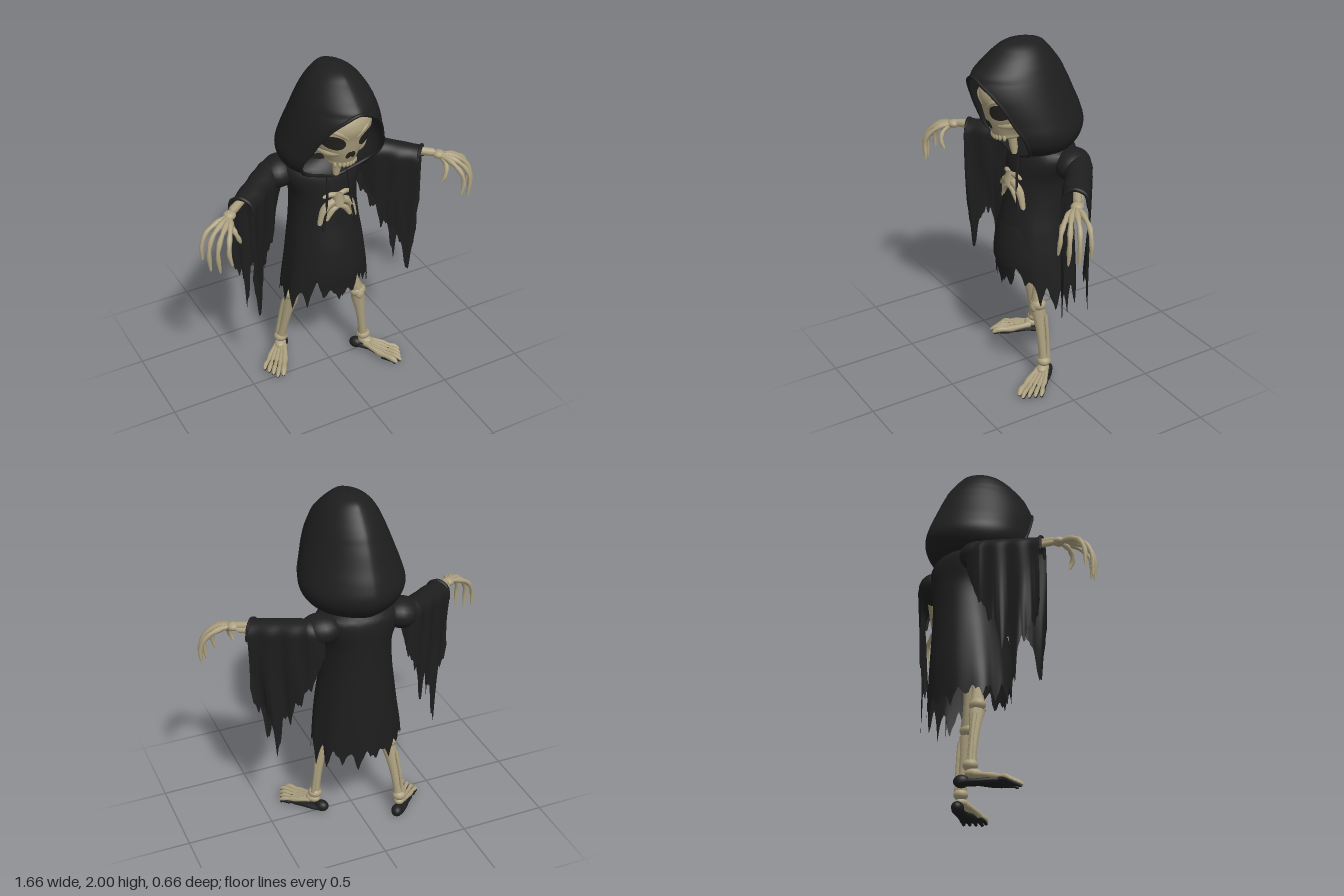
import * as THREE from 'three';
import { mergeVertices } from 'three/addons/utils/BufferGeometryUtils.js';

const { PI, sin, cos, abs, min, max, sqrt, floor, asin } = Math;
const D = THREE.DoubleSide;
const cloth = new THREE.MeshStandardMaterial({ name: 'charcoal cloth', color: 0x1e1e1e, side: D });
const bone = new THREE.MeshStandardMaterial({ name: 'old bone', color: 0xaca07f });
const socket = new THREE.MeshStandardMaterial({ name: 'socket shadow', color: 0x272420, side: D });

const V = (x, y, z) => new THREE.Vector3(x, y, z);
const lerp = THREE.MathUtils.lerp;
const hash = n => { const h = sin(n * 127.1 + 3.7) * 43758.5453; return h - floor(h); };
// torn edge: pointed strips of uneven length, 0..1
const tooth = t => {
  const k = floor(t), f = t - k;
  return (1 - abs(2 * f - 1)) ** 1.4 * (0.3 + 0.7 * hash(k));
};

// smooth lookup in rows of [y, ...values], ascending in y
function at(rows, y) {
  let i = 0;
  while (i < rows.length - 2 && y > rows[i + 1][0]) i++;
  const a = rows[i], b = rows[i + 1], h = b[0] - a[0], t = min(1, max(0, (y - a[0]) / h));
  const p = rows[max(0, i - 1)], n = rows[min(rows.length - 1, i + 2)];
  return a.map((v, k) => {
    const m0 = (b[k] - p[k]) / (b[0] - p[0]) * h, m1 = (n[k] - a[k]) / (n[0] - a[0]) * h;
    return v * (2 * t ** 3 - 3 * t * t + 1) + m0 * (t ** 3 - 2 * t * t + t)
      + b[k] * (3 * t * t - 2 * t ** 3) + m1 * (t ** 3 - t * t);
  });
}

// surface from a rule fn(u, v) -> Vector3
function grid(fn, nu, nv) {
  const pos = [], idx = [];
  for (let j = 0; j <= nv; j++) for (let i = 0; i <= nu; i++) pos.push(...fn(i / nu, j / nv).toArray());
  for (let j = 0; j < nv; j++) for (let i = 0; i < nu; i++) {
    const a = j * (nu + 1) + i, c = a + nu + 1;
    idx.push(a, c, a + 1, a + 1, c, c + 1);
  }
  let g = new THREE.BufferGeometry();
  g.setAttribute('position', new THREE.Float32BufferAttribute(pos, 3));
  g.setIndex(idx);
  g = mergeVertices(g, 1e-5);
  g.computeVertexNormals();
  return g;
}

// tube through points with changing radius and rounded ends
function sweep(points, radii, sides = 8, n = points.length * 7, closed = false) {
  const curve = new THREE.CatmullRomCurve3(points, closed);
  const g = new THREE.TubeGeometry(curve, n, 1, sides, closed), p = g.attributes.position, v = V();
  for (let i = 0; i <= n; i++) {
    const t = i / n, c = curve.getPointAt(t), f = t * (radii.length - 1), k = min(radii.length - 2, floor(f));
    let r = radii.length > 1 ? lerp(radii[k], radii[k + 1], f - k) : radii[0];
    if (!closed) r *= sqrt(max(0, 1 - abs(2 * t - 1) ** 18));
    for (let j = 0; j <= sides; j++) {
      const q = i * (sides + 1) + j;
      v.fromBufferAttribute(p, q).sub(c).multiplyScalar(r).add(c);
      p.setXYZ(q, v.x, v.y, v.z);
    }
  }
  return g;
}

// slices: [y, half width, back z, front z]
const robe = [[0.4, 0.268, -0.28, 0.15], [0.6, 0.255, -0.28, 0.155], [0.75, 0.235, -0.28, 0.165], [0.9, 0.215, -0.275, 0.15],
  [1.05, 0.195, -0.27, 0.12], [1.2, 0.192, -0.27, 0.1], [1.33, 0.235, -0.27, 0.08], [1.39, 0.21, -0.25, 0.05], [1.42, 0.12, -0.2, 0.02]];
const skull = [[1.462, 0.01, 0.1, 0.13], [1.468, 0.07, 0.05, 0.188], [1.5, 0.088, 0.02, 0.21], [1.54, 0.115, -0.05, 0.227], [1.58, 0.15, -0.08, 0.238],
  [1.64, 0.173, -0.09, 0.252], [1.7, 0.18, -0.09, 0.268], [1.76, 0.16, -0.07, 0.25], [1.82, 0.08, -0.02, 0.18], [1.838, 0.004, 0.07, 0.09]];
// hood slices: [y, half width, opening half width, back z, rim z]
const hood = [[1.335, 0.1, 0, -0.18, 0.07], [1.37, 0.165, 0.1, -0.22, 0.085], [1.41, 0.235, 0.19, -0.27, 0.1], [1.46, 0.275, 0.232, -0.312, 0.13],
  [1.52, 0.288, 0.24, -0.33, 0.155], [1.6, 0.27, 0.21, -0.31, 0.2], [1.68, 0.246, 0.178, -0.275, 0.24], [1.75, 0.222, 0.133, -0.245, 0.28],
  [1.8, 0.203, 0.07, -0.22, 0.312], [1.83, 0.19, 0, -0.205, 0.325], [1.88, 0.165, 0, -0.17, 0.275], [1.94, 0.122, 0, -0.12, 0.2],
  [1.98, 0.07, 0, -0.07, 0.135], [2, 0.003, 0, 0.025, 0.035]];
// sleeve hem: [distance from the middle, y]
const hemLine = [[0.16, 1.33], [0.235, 1.25], [0.275, 1.12], [0.32, 1.02], [0.38, 0.91], [0.44, 0.8], [0.5, 0.82], [0.56, 0.88], [0.62, 1.03]];

// angle 0 is the back, +-PI the front
function ring(rows, a, y, ripple = 1) {
  const [, w, zb, zf] = at(rows, y);
  return V(w * sin(a) * ripple, y, zb + (zf - zb) * (1 - cos(a)) / 2);
}
// point lying on the front of a sliced form
function onFront(rows, x, y, off) {
  const [, w, zb, zf] = at(rows, y), q = min(1, abs(x / w));
  return V(x, y, zb + (zf - zb) * (1 + sqrt(1 - q * q)) / 2 + off);
}
// hood slices are slightly diamond-shaped
function hoodPoint(u, y) {
  const [, w, xr, zb, zr] = at(hood, y), W = max(0.002, w), e = 1.25;
  const m = PI - asin(min(1, max(0, xr) / W) ** (1 / e)), a = m * u;
  return V(W * Math.sign(u) * max(0, abs(sin(a))) ** e, y, zb + (zr - zb) * (1 - cos(a)) / (1 - cos(m)));
}

export function createModel() {
  const model = new THREE.Group();
  const add = (name, geo, mat, parent = model) => {
    const m = new THREE.Mesh(geo, mat);
    m.name = name;
    parent.add(m);
    return m;
  };
  const ball = (name, x, y, z, rx, ry, rz, mat = bone, parent = model) => {
    const m = add(name, new THREE.SphereGeometry(1, 20, 14), mat, parent);
    m.position.set(x, y, z);
    m.scale.set(rx, ry, rz);
    return m;
  };

  // hood and its rolled rim
  add('hood', grid((u, v) => hoodPoint(2 * u - 1, 1.335 + 0.665 * (1 - (1 - v) ** 1.5)), 56, 64), cloth);
  const rim = hood.slice(0, 10).map(r => hoodPoint(1, r[0]));
  const rimLoop = [...rim, ...rim.slice(1, -1).reverse().map(p => V(-p.x, p.y, p.z))];
  add('hoodRim', sweep(rimLoop, [0.009], 8, 100, true), cloth);

  // robe with torn hem
  add('robe', grid((u, v) => {
    const a = (2 * u - 1) * PI, f = (1 - cos(a)) / 2, s = abs(sin(a));
    const gap = a * a > 2.5 ? 0.09 * Math.exp(-(((s - 0.52) / 0.2) ** 2)) : 0;
    const hem = 0.555 + 0.07 * f + gap - 0.16 * tooth(u * 17 + 0.3) - 0.03 * tooth(u * 41);
    return ring(robe, a, lerp(hem, 1.42, v), 1 + 0.025 * sin(a * 9) * (1 - v) ** 2);
  }, 170, 40), cloth);

  // front pocket
  add('pocket', grid((u, v) => {
    const y = lerp(0.71, 0.95, v) + 0.012 * sin(u * 9) * (1 - v), w = lerp(0.2, 0.11, v ** 1.5);
    return onFront(robe, (2 * u - 1) * w, y, 0.014 * sin(PI * min(1, 0.1 + u * 1.7, 0.1 + (1 - u) * 1.7) / 2) + 0.003);
  }, 24, 12), cloth);

  // breastbone and ribs at the torn chest
  const chest = (x, y) => onFront(robe, x, y, 0.004);
  add('breastbone', sweep([chest(0, 1.245), chest(0, 1.21), chest(0, 1.16)], [0.024, 0.038, 0.024]), bone);
  for (const s of [-1, 1]) {
    [[1.228, 0.045, 1.236, 0.085, 1.222, 0.014], [1.205, 0.07, 1.165, 0.112, 1.05, 0.022], [1.165, 0.04, 1.14, 0.075, 1.08, 0.015]]
      .forEach(([y0, x1, y1, x2, y2, r]) =>
        add('rib', sweep([chest(0, y0), chest(s * x1, y1), chest(s * x2, y2)], [r, r * 1.1, r * 0.6]), bone));
    const cord = [[0.06, 1.37], [0.068, 1.28], [0.075, 1.18], [0.09, 1.09], [0.103, 1.02]];
    add('drawstring', sweep(cord.map(([x, y]) => onFront(robe, s * x, y, y > 1.3 ? 0.03 : 0.022)), [0.006, 0.007, 0.008]), cloth);
  }

  // neck bones
  add('neck', sweep([V(0, 1.34, 0.075), V(0, 1.41, 0.085), V(0, 1.5, 0.1)], [0.016, 0.024, 0.025, 0.034]), bone);

  // skull
  add('skull', grid((u, v) => ring(skull, (2 * u - 1) * PI, lerp(1.462, 1.838, 0.5 - 0.5 * cos(PI * v))), 48, 40), bone);
  const onSkull = (x, y, o) => onFront(skull, x, y, o);
  const decal = (name, cx, cy, rx, ry, slant) => add(name, grid((u, v) => {
    const x = rx * v * cos(u * 2 * PI), y = ry * v * sin(u * 2 * PI);
    return onSkull(cx + x, cy + y + slant * x, 0.006);
  }, 28, 5), socket);
  for (const s of [-1, 1]) {
    decal('eyeSocket', s * 0.095, 1.643, 0.057, 0.045, s * 0.25);
    decal('noseHole', s * 0.012, 1.553, 0.016, 0.022, -s * 0.4);
    add('brow', sweep([onSkull(s * 0.02, 1.658, -0.006), onSkull(s * 0.075, 1.7, -0.008), onSkull(s * 0.145, 1.72, -0.012)],
      [0.012, 0.014, 0.012]), bone);
    add('cheekbone', sweep([onSkull(s * 0.05, 1.56, -0.014), onSkull(s * 0.1, 1.565, -0.015), onSkull(s * 0.14, 1.585, -0.035), V(s * 0.165, 1.62, 0.08)],
      [0.017, 0.022, 0.022, 0.016]), bone);
  }
  for (let i = -3; i <= 3; i++) {
    const p = onSkull(i * 0.02, 1.485, -0.005);
    ball('tooth', p.x, p.y - 0.008, p.z, 0.011, 0.018, 0.01);
  }

  for (const s of [-1, 1]) {
    // shoulder under the hood, blending robe and sleeve
    const shoulder = ball('shoulder', s * 0.235, 1.32, -0.145, 0.115, 0.085, 0.1, cloth);
    shoulder.rotation.set(0, -s * 0.65, -s * 0.15);

    // draped sleeve: inverted U around the arm, with long torn strips below
    add('sleeve', grid((u, v) => {
      const t = lerp(-0.1, 1, u), p = 2 * v - 1, q = min(1, abs(p) / 0.35), down = max(0, (abs(p) - 0.35) / 0.65);
      const top = lerp(1.395, 1.345, t) - 0.03 * max(0, 0.15 - t) / 0.25, k = p > 0 ? 5 : 11;
      const r = 0.073 * min(1, 0.65 + (t + 0.1) * 1.6) + 0.004 * sin(t * 19 + q);
      const edge = Math.sign(p) * r * sin(q * PI / 2) * (1 - 0.2 * down);
      const side = edge + 0.012 * sin(t * 15 + k + down * 3) * down * min(1, t + 0.15);
      const x = 0.25 + 0.3 * t - 0.62 * edge;
      const hem = at(hemLine, x)[1] - (0.12 * tooth(t * 6 + k + s) + 0.05 * tooth(t * 15 + k)) * min(1, max(0.25, (x - 0.25) * 6))
        - 0.23 * max(0, 1 - abs(x - 0.475) / 0.03);
      const y = lerp(top - r * (1 - cos(q * PI / 2)), min(hem, top - r - 0.02), down);
      return V(s * (0.25 + 0.3 * t - 0.62 * side), y, -0.18 + 0.23 * t + 0.78 * side);
    }, 100, 48), cloth);
    // cuff fold
    add('cuff', sweep([V(s * 0.5, 1.25, 0.1), V(s * 0.515, 1.32, 0.085), V(s * 0.55, 1.345, 0.05), V(s * 0.585, 1.32, 0.01), V(s * 0.6, 1.24, 0)], [0.008, 0.012, 0.008]), cloth);

    // forearm, wrist and hand
    const P = (x, y, z) => V(s * x, y, z);
    add('radius', sweep([P(0.3, 1.33, -0.13), P(0.46, 1.325, -0.02), P(0.63, 1.305, 0.09)], [0.02, 0.017, 0.026]), bone);
    add('ulna', sweep([P(0.3, 1.31, -0.15), P(0.47, 1.295, -0.04), P(0.635, 1.29, 0.075)], [0.016, 0.013, 0.018]), bone);
    ball('wrist', s * 0.638, 1.298, 0.098, 0.034, 0.024, 0.034);
    [[P(0.7, 1.29, 0.11), P(0.78, 1.25, 0.12), P(0.815, 1.18, 0.13), P(0.815, 1.09, 0.13)],
      [P(0.7, 1.292, 0.14), P(0.77, 1.245, 0.17), P(0.8, 1.17, 0.187), P(0.797, 1.05, 0.19)],
      [P(0.69, 1.286, 0.165), P(0.745, 1.235, 0.21), P(0.768, 1.17, 0.228), P(0.76, 1.05, 0.23)],
      [P(0.67, 1.28, 0.178), P(0.705, 1.225, 0.235), P(0.715, 1.17, 0.25), P(0.7, 1.09, 0.252)],
      [P(0.65, 1.275, 0.14), P(0.645, 1.24, 0.175), P(0.63, 1.2, 0.185), P(0.615, 1.16, 0.175)]].forEach(pts => {
      add('finger', sweep([P(0.635, 1.297, 0.1), ...pts], [0.016, 0.013, 0.018, 0.012, 0.016, 0.011, 0.014, 0.01, 0.006]), bone);
    });
  }

  // legs: the left one steps forward
  function leg(s, hip, knee, ankle) {
    const mid = (a, b, t) => a.clone().lerp(b, t);
    add('thighBone', sweep([hip, mid(hip, knee, 0.5), knee], [0.034, 0.026, 0.025, 0.03, 0.046]), bone);
    ball('knee', knee.x, knee.y + 0.005, knee.z, 0.05, 0.036, 0.043);
    ball('kneecap', knee.x, knee.y - 0.01, knee.z + 0.03, 0.026, 0.03, 0.018);
    add('shinBone', sweep([knee.clone().add(V(0, -0.015, 0)), mid(knee, ankle, 0.5), ankle], [0.05, 0.036, 0.028, 0.025, 0.025, 0.038]), bone);
    add('calfBone', sweep([mid(knee, ankle, 0.12).add(V(s * 0.028, 0, -0.025)), mid(knee, ankle, 0.5).add(V(s * 0.026, 0, -0.026)),
      mid(knee, ankle, 0.97).add(V(s * 0.02, 0, -0.016))], [0.014, 0.01, 0.015]), bone);
    ball('ankle', ankle.x, ankle.y + 0.015, ankle.z, 0.041, 0.032, 0.04);
    // foot: bones above, dark underside
    const foot = new THREE.Group();
    foot.name = 'foot';
    foot.position.set(ankle.x, 0, ankle.z);
    foot.rotation.y = s * 0.65;
    model.add(foot);
    ball('instep', 0, 0.076, 0.015, 0.034, 0.026, 0.045, bone, foot);
    ball('heel', 0, 0.036, -0.045, 0.034, 0.034, 0.042, cloth, foot);
    const pad = add('footSole', sweep([V(0, 0, -0.07), V(s * 0.012, 0, 0.03), V(0, 0, 0.17)], [0.03, 0.034, 0.036, 0.05, 0.052], 14, 30), cloth, foot);
    pad.scale.y = 0.5;
    pad.position.y = 0.026;
    for (let i = -2; i <= 2; i++) {
      const x = i * 0.025, z = 0.265 - abs(i + s) * 0.018, r = i === -s * 2 ? 1.35 : 1;
      const radii = [0.018, 0.012, 0.012, 0.016, 0.011, 0.014, 0.009].map(v => v * r);
      add('toe', sweep([V(x * 0.4, 0.07, 0.015), V(x * 0.8, 0.056, 0.085), V(x, 0.042, 0.155), V(x * 1.15, 0.038, z - 0.03), V(x * 1.2, 0.02, z)], radii), bone, foot);
      add('toePad', sweep([V(x, 0.025, 0.14), V(x * 1.15, 0.024, z - 0.03), V(x * 1.2, 0.011, z - 0.006)], [0.014, 0.013, 0.009]), cloth, foot);
    }
  }
  leg(1, V(0.1, 0.78, -0.01), V(0.17, 0.47, 0.03), V(0.22, 0.105, 0.02));
  leg(-1, V(-0.1, 0.78, -0.08), V(-0.18, 0.47, -0.125), V(-0.225, 0.105, -0.195));
  ball('pelvis', 0, 0.8, -0.05, 0.14, 0.06, 0.07);
  return model;
}
